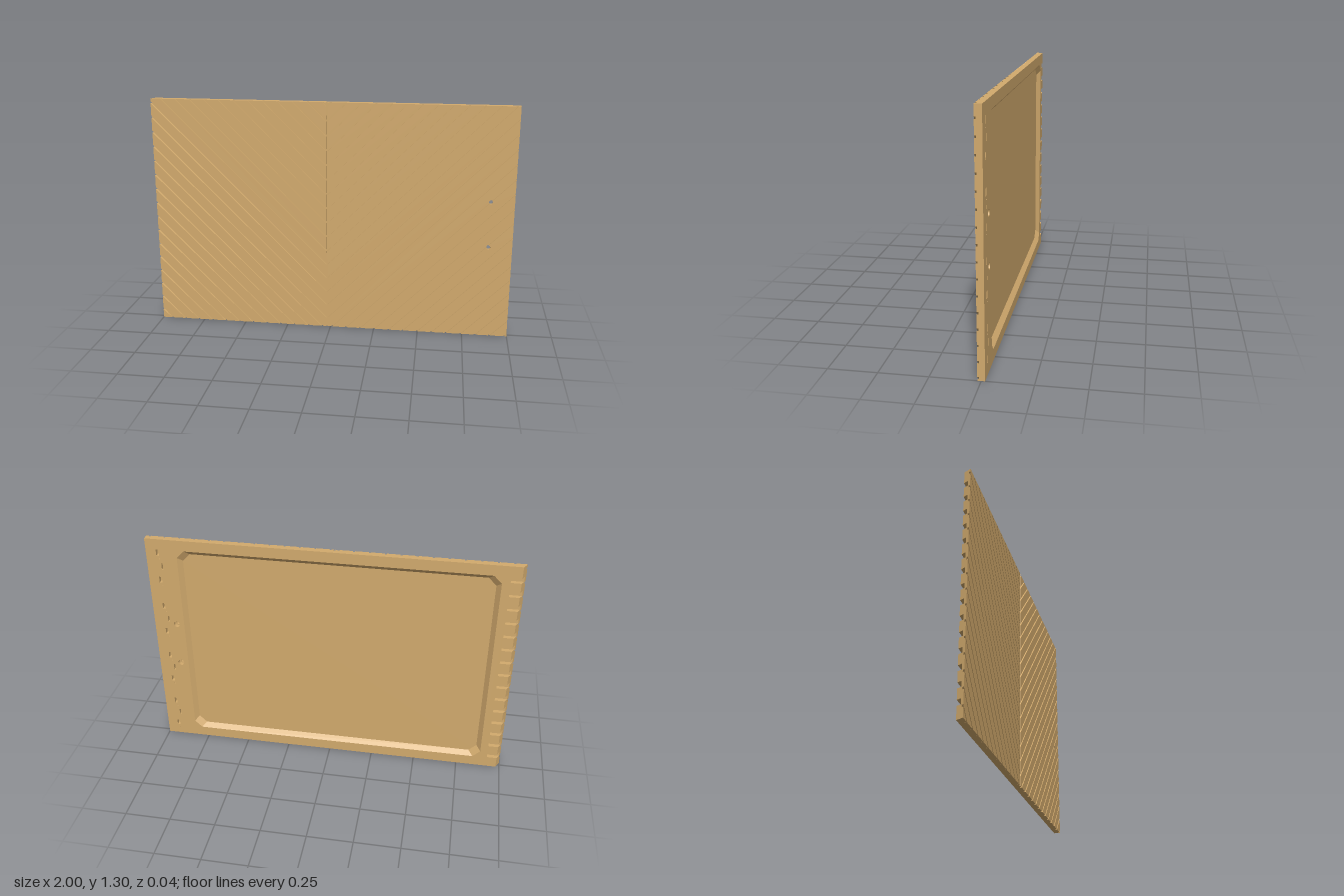
import * as THREE from 'three';

const H = 1.3, T = 0.0185;             // panel height, half thickness
const FLOOR = 0.005, GROOVE = 0.0095;  // z of the recess floor and of the groove bottoms
const STEP = 0.0816, SEAM = -0.02;     // groove pitch, x of the centre seam
const HOLES = [[0.872, 0.78], [0.872, 0.523]], R = 0.011;

const V = (x, y) => new THREE.Vector2(x, y);
const rectPath = (x, y, w, h) => new THREE.Path([V(x - w / 2, y - h / 2), V(x + w / 2, y - h / 2), V(x + w / 2, y + h / 2), V(x - w / 2, y + h / 2)]);
const circlePath = (x, y, r) => new THREE.Path().absarc(x, y, r, 0, Math.PI * 2);

// Flat slab between two depths; the end at x = -1 slopes inwards to the back
function slab(shape, z0, z1) {
  const g = new THREE.ExtrudeGeometry(shape, { depth: z1 - z0, bevelEnabled: false, curveSegments: 10 });
  g.translate(0, 0, z0);
  const p = g.attributes.position;
  for (let i = 0; i < p.count; i++) {
    if (p.getX(i) < -0.9999) p.setX(i, -1 + (T - p.getZ(i)) * 0.54);
  }
  g.computeVertexNormals();
  return g;
}

// Keep the part of a polygon where f >= 0
function clip(poly, f) {
  const out = [];
  poly.forEach((a, i) => {
    const b = poly[(i + 1) % poly.length], fa = f(a), fb = f(b);
    if (fa >= 0) out.push(a);
    if ((fa >= 0) !== (fb >= 0)) out.push(a.clone().lerp(b, fa / (fa - fb)));
  });
  return out;
}

// Bite a round hole out of the edges of a counter-clockwise polygon
function bite(poly, c) {
  const out = [];
  poly.forEach((a, i) => {
    const b = poly[(i + 1) % poly.length], len = a.distanceTo(b);
    out.push(a);
    if (len < 1e-6) return;
    const d = b.clone().sub(a).divideScalar(len), m = c.clone().sub(a);
    const along = m.dot(d), off = Math.abs(m.cross(d));
    if (off >= R) return;
    const half = Math.sqrt(R * R - off * off);
    if (along - half <= 0 || along + half >= len) return;
    const A = a.clone().addScaledVector(d, along - half).sub(c);
    const B = a.clone().addScaledVector(d, along + half).sub(c);
    const a0 = Math.atan2(A.y, A.x);
    let sweep = a0 - Math.atan2(B.y, B.x);
    if (sweep < 0) sweep += Math.PI * 2;
    for (let k = 0; k <= 10; k++) {
      const t = a0 - sweep * k / 10;
      out.push(V(c.x + R * Math.cos(t), c.y + R * Math.sin(t)));
    }
  });
  return out;
}

// Rectangle with cut corners, counter-clockwise, shrunk by s
function octagon(s) {
  const x0 = -0.883 + s, x1 = 0.83 - s, y0 = 0.06 + s, y1 = H - 0.06 - s, c = 0.042;
  return [V(x0 + c, y0), V(x1 - c, y0), V(x1, y0 + c), V(x1, y1 - c),
    V(x1 - c, y1), V(x0 + c, y1), V(x0, y1 - c), V(x0, y0 + c)];
}

export function createModel() {
  const model = new THREE.Group();
  const wood = new THREE.MeshStandardMaterial({ color: 0xd2aa6d });
  wood.name = 'tan wood';
  const add = (geo, name, parent = model) => {
    const m = new THREE.Mesh(geo, wood);
    m.name = name;
    parent.add(m);
  };

  // Back frame: notched edge, recess opening, slots and countersinks
  const outline = [V(1, 0), V(1, H), V(-1, H)];
  for (let i = 7; i >= -7; i--) {
    const y = H / 2 + i * STEP, n = 0.014;
    outline.push(V(-1, y + n), V(-0.925, y + n), V(-0.925, y - n), V(-1, y - n));
  }
  outline.push(V(-1, 0));
  const frame = new THREE.Shape(outline);
  frame.holes.push(new THREE.Path(octagon(0)));
  for (let i = 0; i < 8; i++) {
    const y = H / 2 + (3.5 - i) * 2 * STEP;
    frame.holes.push(rectPath(0.935, y, 0.016, 0.036), circlePath(0.928, y - 0.036, 0.003));
    if (i % 2 === 0) frame.holes.push(rectPath(0.917, y - STEP, 0.008, 0.036));
  }
  HOLES.forEach(([x, y]) => frame.holes.push(circlePath(x, y, 0.018)));
  add(slab(frame, -T, FLOOR), 'backFrame');

  // Sloping walls of the recess
  const outer = octagon(0), inner = octagon(0.025), pos = [];
  outer.forEach((p, i) => {
    const j = (i + 1) % 8, p2 = outer[j], q = inner[i], q2 = inner[j];
    pos.push(p.x, p.y, -T, q.x, q.y, FLOOR, p2.x, p2.y, -T);
    pos.push(p2.x, p2.y, -T, q.x, q.y, FLOOR, q2.x, q2.y, FLOOR);
  });
  const walls = new THREE.BufferGeometry();
  walls.setAttribute('position', new THREE.Float32BufferAttribute(pos, 3));
  walls.computeVertexNormals();
  add(walls, 'recessWalls');

  // Thin core sheet: recess floor and groove bottoms
  const core = new THREE.Shape([V(-1, 0), V(1, 0), V(1, H), V(-1, H)]);
  HOLES.forEach(([x, y]) => core.holes.push(circlePath(x, y, R)));
  add(slab(core, FLOOR, GROOVE), 'coreSheet');

  // Diagonal front planks, rising outwards from the centre seam
  const h = 0.0055;
  for (const side of [1, -1]) {
    const planks = new THREE.Group();
    planks.name = side > 0 ? 'leftPlanks' : 'rightPlanks';
    model.add(planks);
    const width = 1 - side * SEAM;
    for (let k = -14; k < 17; k++) {
      const c = 0.055 + k * STEP;
      let poly = [V(0.004, 0), V(width, 0), V(width, H), V(0.004, H)];
      poly = clip(poly, p => p.y - p.x - c - h);
      poly = clip(poly, p => c + STEP - h - p.y + p.x);
      if (poly.length < 3) continue;
      poly = poly.map(p => V(SEAM + side * p.x, p.y));
      if (side > 0) HOLES.forEach(([x, y]) => { poly = bite(poly, V(x, y)); });
      add(slab(new THREE.Shape(poly), GROOVE, T), 'plank', planks);
    }
  }
  return model;
}
